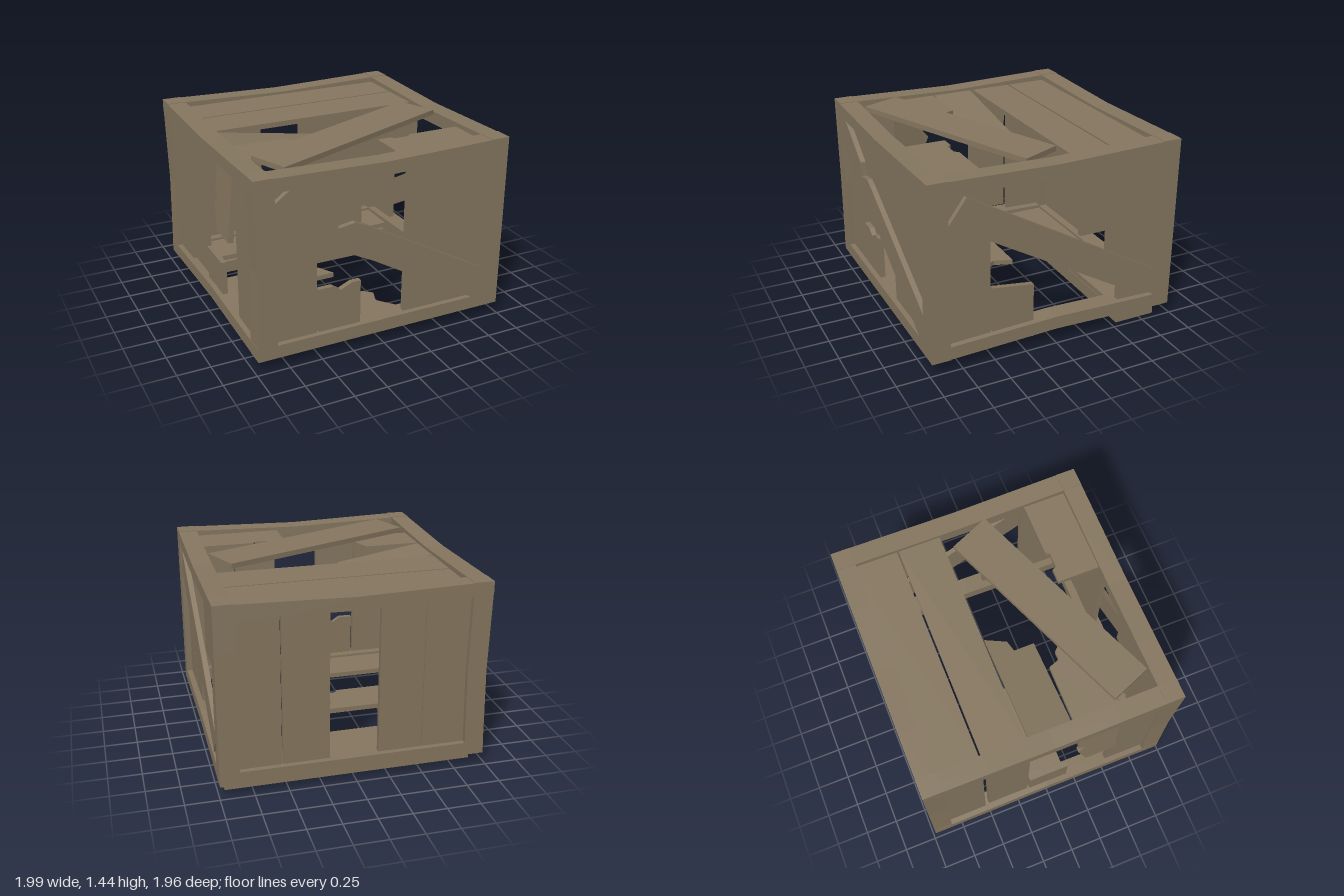
import * as THREE from 'three';

const wood = new THREE.MeshStandardMaterial({ color: 0x85765f, flatShading: true });
wood.name = 'weatheredWood';

// Beam between opposite corners, sagging by (dx, dy, dz) at its middle
function beam(name, min, max, axis, [dx, dy, dz]) {
  const size = min.map((v, i) => max[i] - v);
  const seg = [0, 1, 2].map(i => (i === axis ? 4 : 1));
  const geo = new THREE.BoxGeometry(...size, ...seg);
  geo.translate(...min.map((v, i) => (v + max[i]) / 2));
  const p = geo.attributes.position;
  for (let i = 0; i < p.count; i++) {
    const t = (p.getComponent(i, axis) - min[axis]) / size[axis];
    const k = 1 - Math.abs(2 * t - 1);
    p.setXYZ(i, p.getX(i) + dx * k, p.getY(i) + dy * k, p.getZ(i) + dz * k);
  }
  geo.computeVertexNormals();
  const mesh = new THREE.Mesh(geo, wood);
  mesh.name = name;
  return mesh;
}

// Board cut from an outline; it can tilt about a pivot point on the panel
function board(name, points, depth, { thick = 0.04, pivot = [0, 0], tilt = [0, 0] } = {}) {
  const shape = new THREE.Shape(points.map(([x, y]) => new THREE.Vector2(x, y)));
  const geo = new THREE.ExtrudeGeometry(shape, { depth: thick, bevelEnabled: false });
  geo.translate(-pivot[0], -pivot[1], 0);
  const mesh = new THREE.Mesh(geo, wood);
  mesh.position.set(pivot[0], pivot[1], depth);
  mesh.rotation.set(tilt[0], tilt[1], 0);
  mesh.name = name;
  return mesh;
}

const rect = (x0, y0, x1, y1) => [[x0, y0], [x1, y0], [x1, y1], [x0, y1]];

function panel(name, rx, ry, boards) {
  const g = new THREE.Group();
  g.name = name;
  g.rotation.set(rx, ry, 0);
  g.add(...boards);
  return g;
}

export function createModel() {
  const crate = new THREE.Group();
  crate.name = 'brokenCrate';

  // Frame: four posts and two rings of slightly bent beams
  const frame = new THREE.Group();
  frame.name = 'frame';
  const O = 0.98, I = 0.835, B = 0.09, T = 1.44, H = 0.1;
  for (const sx of [-1, 1]) {
    for (const sz of [-1, 1]) {
      const x = [sx * O, sx * I].sort((a, b) => a - b);
      const z = [sz * O, sz * I].sort((a, b) => a - b);
      const shift = sx > 0 ? 0.015 : 0;
      frame.add(beam('post', [x[0] + shift, B, z[0]], [x[1] + shift, T, z[1]], 1,
        [sx < 0 ? 0.015 : 0, 0, 0]));
    }
  }
  for (const s of [-1, 1]) {
    const [a, b] = s > 0 ? [I, O] : [-O, -I];
    const sh = s > 0 ? 0.015 : 0;
    frame.add(
      beam('topCrossBeam', [-O, T - H, a], [0.995, T, b], 0, [0, -0.025, 0]),
      beam('bottomCrossBeam', [-O, B, a], [0.995, B + H, b], 0, [0, 0, 0]),
      beam('topSideBeam', [a + sh, T - H, -O], [b + sh, T, O], 2, [0, -0.025, 0]),
      beam('bottomSideBeam', [a + sh, B, -O], [b + sh, B + H, O], 2, [0, 0.03, 0])
    );
  }
  crate.add(frame);

  const D = 0.9, lo = 0.12, hi = 1.38;

  // Front: full planks, a snapped plank and a split brace
  crate.add(panel('frontPanel', 0, 0, [
    board('plank', rect(-0.86, lo, -0.515, hi), D),
    board('plank', rect(0.19, lo, 0.53, hi), D),
    board('plank', rect(0.54, lo, 0.87, hi), D),
    board('brokenPlankTop', rect(-0.51, 0.74, -0.175, hi), D),
    board('brokenPlankBottom', [[-0.5, 0.09], [-0.17, 0.09], [-0.17, 0.53], [-0.24, 0.53],
      [-0.33, 0.49], [-0.39, 0.53], [-0.5, 0.53]], D),
    board('brace', [[-0.84, 1.12], [-0.5, 0.89], [-0.1, 0.69], [0.76, 0.19], [0.86, 0.19],
      [0.86, 0.41], [-0.17, 0.98], [-0.24, 1.01], [-0.37, 0.99], [-0.38, 1.1],
      [-0.72, 1.34], [-0.84, 1.25]], D + 0.04)
  ]));

  // Back: two pairs of planks with a gap
  crate.add(panel('backPanel', 0, Math.PI,
    [[-0.87, -0.54], [-0.53, -0.19], [0.175, 0.5], [0.505, 0.86]]
      .map(([a, b]) => board('plank', rect(a, lo, b, hi), D))));

  // Right-hand side in the +x direction, with local x running to the back
  crate.add(panel('leftPanel', 0, Math.PI / 2, [
    board('plank', rect(-0.86, lo, -0.51, hi), D + 0.01),
    board('plank', rect(0.545, lo, 0.86, hi), D + 0.01),
    board('brokenPlankBottom', [[-0.495, 0.08], [-0.17, 0.08], [-0.17, 0.51], [-0.495, 0.555]], D + 0.01),
    board('brokenPlankTop', rect(0.2, 0.81, 0.54, hi), D + 0.01),
    board('brace', [[-0.83, 1.12], [0.71, 0.23], [0.84, 0.41], [-0.7, 1.3]], D + 0.05)
  ]));

  // Opposite side, with one plank swinging outward
  crate.add(panel('rightPanel', 0, -Math.PI / 2, [
    board('plank', rect(-0.86, lo, -0.53, hi), D),
    board('plank', rect(-0.5, 0.25, -0.17, hi), D),
    board('plank', rect(0.515, lo, 0.86, hi), D),
    board('brokenPlankBottom', rect(-0.15, lo, 0.17, 0.48), D),
    board('loosePlank', [[0.27, 0.8], [0.51, 0.8], [0.51, hi], [0.2, hi], [0.2, 1.09],
      [0.25, 1.06], [0.2, 1.0]], D, { pivot: [0.35, hi], tilt: [-0.1, 0] })
  ]));

  // Lid: local y runs to the back
  const L = 1.355;
  crate.add(panel('lid', -Math.PI / 2, 0, [
    board('plank', rect(-0.86, 0.515, 0.87, 0.86), L),
    board('plank', rect(-0.86, 0.175, 0.87, 0.5), L),
    board('plank', [[0.18, -0.86], [0.87, -0.86], [0.87, -0.51], [0.44, -0.51],
      [0.42, -0.54], [0.3, -0.54], [0.29, -0.51], [0.18, -0.51]], L),
    board('hangingPlank', [[-0.84, -0.175], [-0.16, -0.175], [-0.16, -0.02], [-0.07, 0],
      [0.01, 0.15], [-0.84, 0.15]], L, { pivot: [-0.84, 0], tilt: [0, 0.16] }),
    board('brokenPlank', [[-0.86, -0.49], [-0.48, -0.49], [-0.36, -0.33], [-0.41, -0.19],
      [-0.86, -0.19]], L),
    board('brace', [[-0.81, -0.52], [-0.69, -0.82], [0.85, -0.19], [0.72, 0.11]], L + 0.04)
  ]));

  // Floor: local y runs to the front, depth runs down
  const F = -0.17;
  crate.add(panel('floor', Math.PI / 2, 0, [
    board('plank', rect(-0.86, -0.86, 0.87, -0.52), F),
    board('brokenPlank', [[-0.86, -0.15], [-0.02, -0.15], [-0.07, 0], [0.01, 0.14],
      [-0.16, 0.14], [-0.16, 0.175], [-0.86, 0.175]], F),
    board('brokenPlank', [[-0.86, 0.51], [0.08, 0.51], [0.14, 0.57], [0.1, 0.68],
      [0.25, 0.86], [-0.86, 0.86]], F),
    board('skid', rect(-0.915, -0.875, 0.95, -0.545), -0.1, { thick: 0.1 })
  ]));

  return crate;
}
